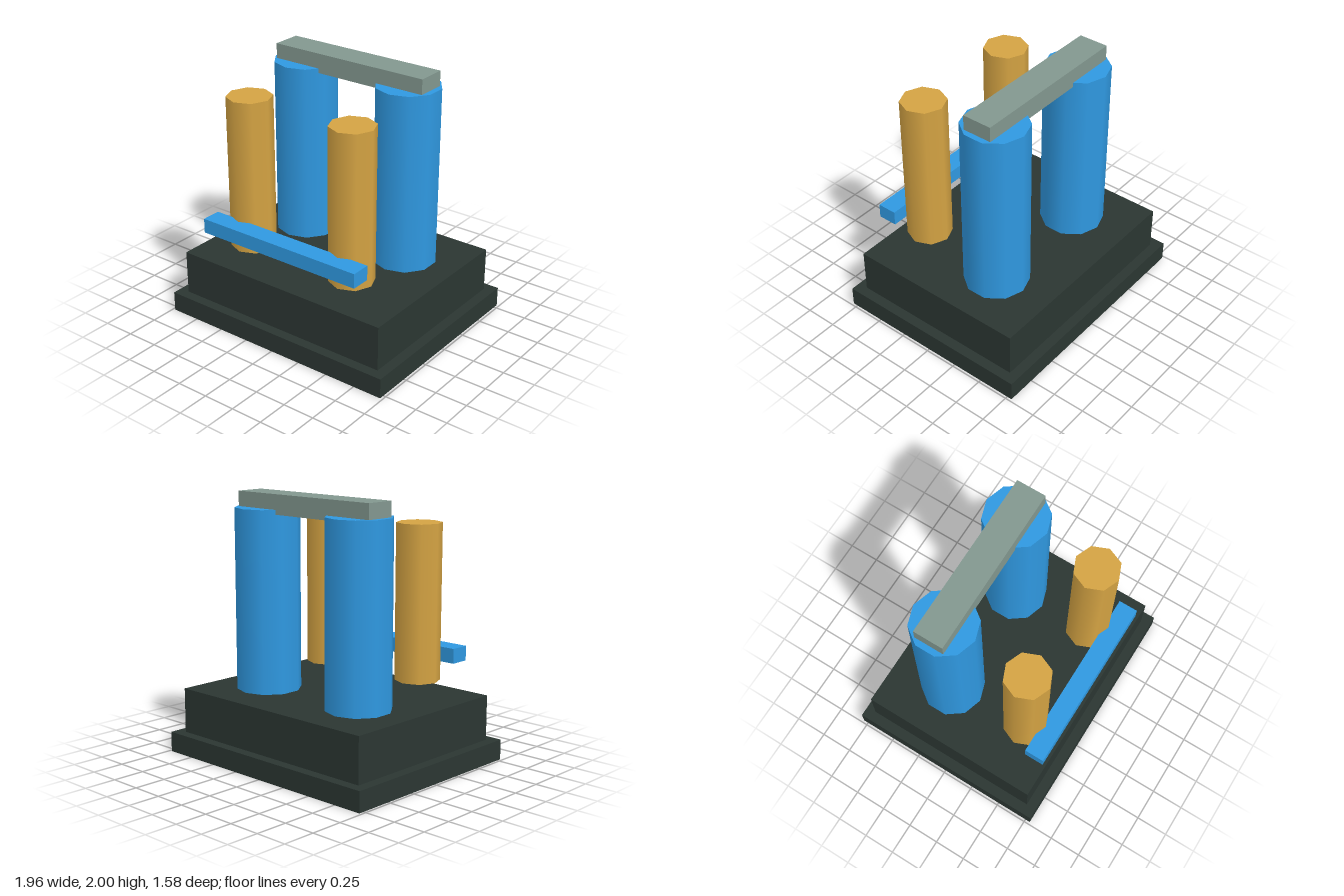
import * as THREE from 'three';

const mat = (color) => new THREE.MeshStandardMaterial({ color });

export function createModel() {
  const model = new THREE.Group();
  model.name = 'twinTankUnit';

  const dark = mat(0x2b3632);
  const blue = mat(0x2f98e0);
  const amber = mat(0xd4a343);
  const grey = mat(0x82978f);

  const add = (name, geometry, material, x, y, z) => {
    const mesh = new THREE.Mesh(geometry, material);
    mesh.name = name;
    mesh.position.set(x, y, z);
    model.add(mesh);
  };
  // Box between two heights, centred on x = 0
  const bar = (name, material, width, y0, y1, z0, z1) =>
    add(name, new THREE.BoxGeometry(width, y1 - y0, z1 - z0), material, 0, (y0 + y1) / 2, (z0 + z1) / 2);

  // Stepped base
  bar('basePlinth', dark, 1.96, 0, 0.155, -0.79, 0.79);
  bar('baseBlock', dark, 1.8, 0.155, 0.5, -0.712, 0.712);

  // Large rear tanks and slimmer front columns, mirrored
  const tank = new THREE.CylinderGeometry(0.247, 0.247, 1.385, 10);
  const column = new THREE.CylinderGeometry(0.172, 0.172, 1.19, 8);
  for (const [side, s] of [['left', 1], ['right', -1]]) {
    add(side + 'RearTank', tank, blue, s * 0.463, 1.1925, -0.234);
    add(side + 'FrontColumn', column, amber, s * 0.46, 1.195, 0.424);
  }

  // Bridge over the tanks and rail across the columns
  bar('topBridge', grey, 1.308, 1.85, 2, -0.348, -0.118);
  bar('frontRail', blue, 1.386, 0.735, 0.848, 0.56, 0.712);

  return model;
}
